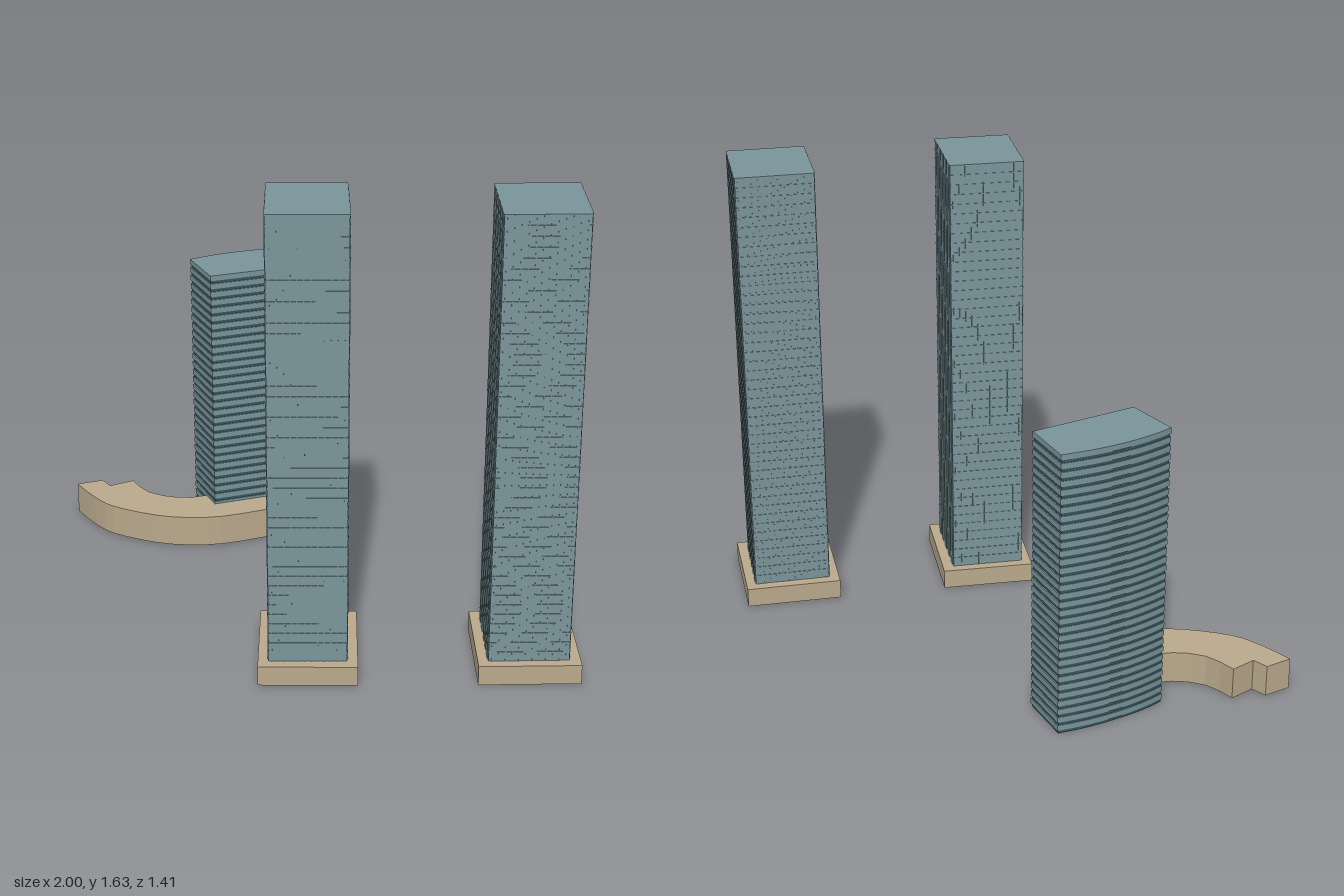
import * as THREE from 'three';
import { mergeGeometries } from 'three/addons/utils/BufferGeometryUtils.js';

const glass = new THREE.MeshStandardMaterial({ color: 0x7a959b });
const darkGlass = new THREE.MeshStandardMaterial({ color: 0x34545c });
const stone = new THREE.MeshStandardMaterial({ color: 0xbaa98c });

// Vertical prism over a plan outline of [x, z] points, with an optional hole
function prism(plan, y0, y1, hole) {
  const toV2 = (pts) => pts.map(([x, z]) => new THREE.Vector2(x, -z));
  const shape = new THREE.Shape(toV2(plan));
  if (hole) shape.holes.push(new THREE.Path(toV2(hole)));
  const geo = new THREE.ExtrudeGeometry(shape, { depth: y1 - y0, bevelEnabled: false });
  return geo.rotateX(-Math.PI / 2).translate(0, y0, 0);
}

// Shrink a plan outline about its centre by roughly distance d
function inset(plan, d) {
  const cx = plan.reduce((s, p) => s + p[0], 0) / plan.length;
  const cz = plan.reduce((s, p) => s + p[1], 0) / plan.length;
  return plan.map(([x, z]) => {
    const k = 1 - (d * 1.41) / Math.hypot(x - cx, z - cz);
    return [cx + (x - cx) * k, cz + (z - cz) * k];
  });
}

function add(group, name, geo, material) {
  const mesh = new THREE.Mesh(geo, material);
  mesh.name = name;
  group.add(mesh);
}

// Rectangular tower on a low plinth; plans run back-left, back-right, front-right, front-left
function tower(name, plan, basePlan) {
  const g = new THREE.Group();
  g.name = name;
  const top = 1.635, baseTop = 0.07, floors = 44;
  const core = inset(plan, 0.003);
  add(g, 'plinth', prism(basePlan, 0, baseTop, core), stone);
  add(g, 'towerBody', prism(core, 0, top), glass);

  // Thin floor ledges
  const ledges = [];
  const step = (top - baseTop) / floors;
  for (let i = 1; i <= floors; i++) {
    const y = baseTop + i * step;
    ledges.push(prism(inset(plan, 0.001), y - 0.004, y, core));
  }
  add(g, 'floorLedges', mergeGeometries(ledges), glass);

  // Vertical strips: broad ones on the side faces, slim mullions on front and back
  const strips = [];
  for (let f = 0; f < 4; f++) {
    const a = new THREE.Vector2(...core[f]), b = new THREE.Vector2(...core[(f + 1) % 4]);
    const isSide = f % 2 === 1;
    const count = isSide ? 5 : 12;
    const width = isSide ? 0.034 : 0.004;
    const depth = isSide ? 0.006 : 0.003;
    const angle = -Math.atan2(b.y - a.y, b.x - a.x);
    for (let i = 0; i < count; i++) {
      const p = a.clone().lerp(b, (i + 0.5) / count);
      strips.push(new THREE.BoxGeometry(width, top - baseTop, depth)
        .rotateY(angle).translate(p.x, (top + baseTop) / 2, p.y));
    }
  }
  add(g, 'verticalStrips', mergeGeometries(strips), glass);
  return g;
}

// Banded office block with one bowed side
function bowedBlock() {
  const g = new THREE.Group();
  g.name = 'bowedBlock';
  const bow = new THREE.QuadraticBezierCurve(
    new THREE.Vector2(-0.558, -0.505), new THREE.Vector2(-0.42, -0.635), new THREE.Vector2(-0.2, -0.707));
  const plan = [...bow.getPoints(8).map((p) => [p.x, p.y]), [-0.113, -0.535], [-0.445, -0.347]];
  const height = 1.03, floors = 33, step = height / floors;
  add(g, 'darkWindows', prism(inset(plan, 0.003), 0, height - 0.004), darkGlass);
  const bands = [];
  for (let i = 0; i < floors; i++) {
    bands.push(prism(plan, (i + 0.36) * step, (i + 1) * step));
  }
  add(g, 'floorBands', mergeGeometries(bands), glass);
  return g;
}

// Low crescent-shaped wing with a notched end
function crescentWing() {
  const inner = [[-1, -0.415], [-0.916, -0.465], [-0.873, -0.425], [-0.8, -0.483], [-0.76, -0.437],
    [-0.715, -0.4], [-0.655, -0.38], [-0.6, -0.376], [-0.545, -0.385], [-0.49, -0.415],
    [-0.42, -0.44], [-0.36, -0.43], [-0.265, -0.447]];
  const outer = new THREE.SplineCurve([[-0.214, -0.36], [-0.41, -0.247], [-0.6, -0.214],
    [-0.8, -0.253], [-0.9, -0.315], [-1, -0.415]].map((p) => new THREE.Vector2(...p)));
  const rim = outer.getPoints(16).slice(0, -1).map((p) => [p.x, p.y]);
  const mesh = new THREE.Mesh(prism([...inner, ...rim], 0, 0.115), stone);
  mesh.name = 'crescentWing';
  return mesh;
}

export function createModel() {
  const model = new THREE.Group();
  model.name = 'towerComplex';
  model.add(
    tower('centreTower',
      [[-0.088, 0.36], [0.17, 0.311], [0.232, 0.615], [-0.03, 0.664]],
      [[-0.124, 0.334], [0.202, 0.274], [0.271, 0.645], [-0.056, 0.704]]),
    tower('leftTower',
      [[0.623, 0.229], [0.893, 0.17], [0.956, 0.47], [0.687, 0.528]],
      [[0.583, 0.202], [0.917, 0.131], [0.998, 0.494], [0.662, 0.566]]),
    bowedBlock(),
    crescentWing(),
  );
  return model;
}
